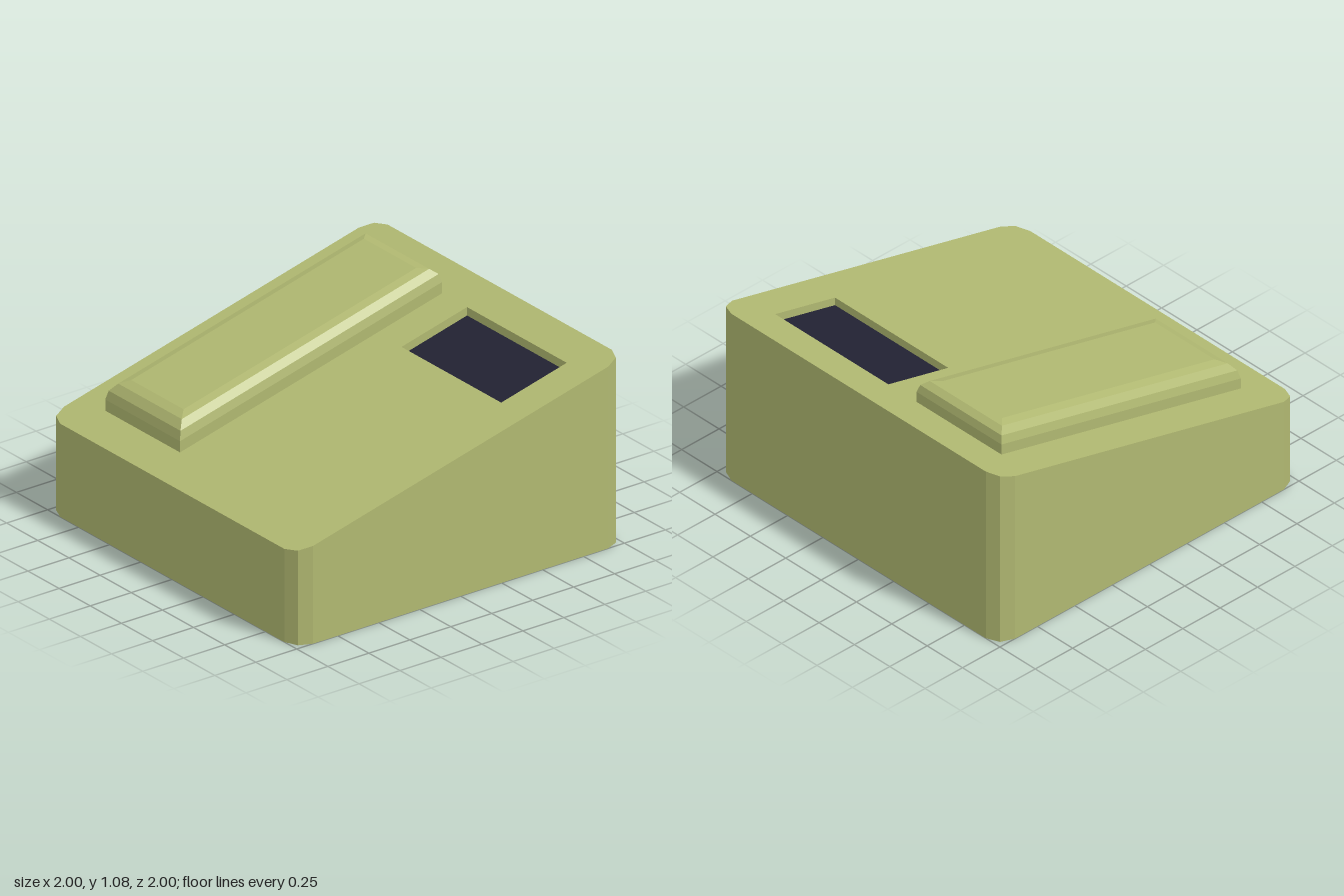
import * as THREE from 'three';

const SLOPE = 0.25, TOP = 0.75, RECESS = 0.05;
const shear = (z) => -SLOPE * z;

// Move every vertex by a height rule y = f(y, z)
function reshape(geo, rule) {
  const p = geo.attributes.position;
  for (let i = 0; i < p.count; i++) p.setY(i, rule(p.getY(i), p.getZ(i)));
  geo.computeVertexNormals();
  return geo;
}

// Square footprint with two-facet corners
function footprint() {
  const c = [[1, 0.9], [0.97, 0.97], [0.9, 1]];
  const r = c.slice().reverse();
  const pts = [
    ...c,
    ...r.map(([x, y]) => [-x, y]),
    ...c.map(([x, y]) => [-x, -y]),
    ...r.map(([x, y]) => [x, -y]),
  ];
  return new THREE.Shape(pts.map(([x, y]) => new THREE.Vector2(x, y)));
}

function slab(shape, depth) {
  return new THREE.ExtrudeGeometry(shape, { depth, bevelEnabled: false }).rotateX(-Math.PI / 2);
}

// Sloped pad: inset rectangles stacked along a rounded edge profile
function padGeometry(x0, x1, z0, z1) {
  const r = 0.09, profile = [[0, -0.01]];
  for (let i = 0; i <= 3; i++) {
    const a = (i / 3) * Math.PI / 2;
    profile.push([r * (1 - Math.cos(a)), 0.06 + r * Math.sin(a)]);
  }
  const pos = [], index = [];
  for (const [d, h] of profile) {
    for (const [x, z] of [[x0 + d, z1 - d], [x1 - d, z1 - d], [x1 - d, z0 + d], [x0 + d, z0 + d]]) {
      pos.push(x, TOP + h + shear(z), z);
    }
  }
  for (let k = 0; k < profile.length - 1; k++) {
    for (let j = 0; j < 4; j++) {
      const a = k * 4 + j, b = k * 4 + (j + 1) % 4;
      index.push(a, b, b + 4, a, b + 4, a + 4);
    }
  }
  const t = (profile.length - 1) * 4;
  index.push(t, t + 1, t + 2, t, t + 2, t + 3);
  const g = new THREE.BufferGeometry();
  g.setAttribute('position', new THREE.Float32BufferAttribute(pos, 3));
  g.setIndex(index);
  const flat = g.toNonIndexed();
  flat.computeVertexNormals();
  return flat;
}

export function createModel() {
  const model = new THREE.Group();
  model.name = 'deskUnit';
  const casing = new THREE.MeshStandardMaterial({ name: 'olive casing', color: 0xb0b871 });
  const glass = new THREE.MeshStandardMaterial({ name: 'dark screen', color: 0x222233 });
  const add = (name, geo, mat) => {
    const mesh = new THREE.Mesh(geo, mat);
    mesh.name = name;
    model.add(mesh);
  };

  // Wedge-shaped lower casing; its top is the recess floor
  add('lowerCasing', reshape(slab(footprint(), 1),
    (y, z) => (y > 0.5 ? TOP - RECESS + shear(z) : 0)), casing);

  // Sloped top panel with the screen opening
  const panel = footprint();
  panel.holes.push(new THREE.Path([[0, 0.4], [0, 0.8], [0.8, 0.8], [0.8, 0.4]]
    .map(([x, y]) => new THREE.Vector2(x, y))));
  add('topPanel', reshape(slab(panel, RECESS),
    (y, z) => y + TOP - RECESS + shear(z)), casing);

  // Screen set into the recess
  const screen = new THREE.PlaneGeometry(0.8, 0.4).rotateX(-Math.PI / 2).translate(0.4, 0, -0.6);
  add('screen', reshape(screen, (y, z) => TOP - 0.045 + shear(z)), glass);

  // Raised rounded handset pad
  add('handsetPad', padGeometry(-0.8, -0.2, -0.8, 0.8), casing);

  return model;
}
